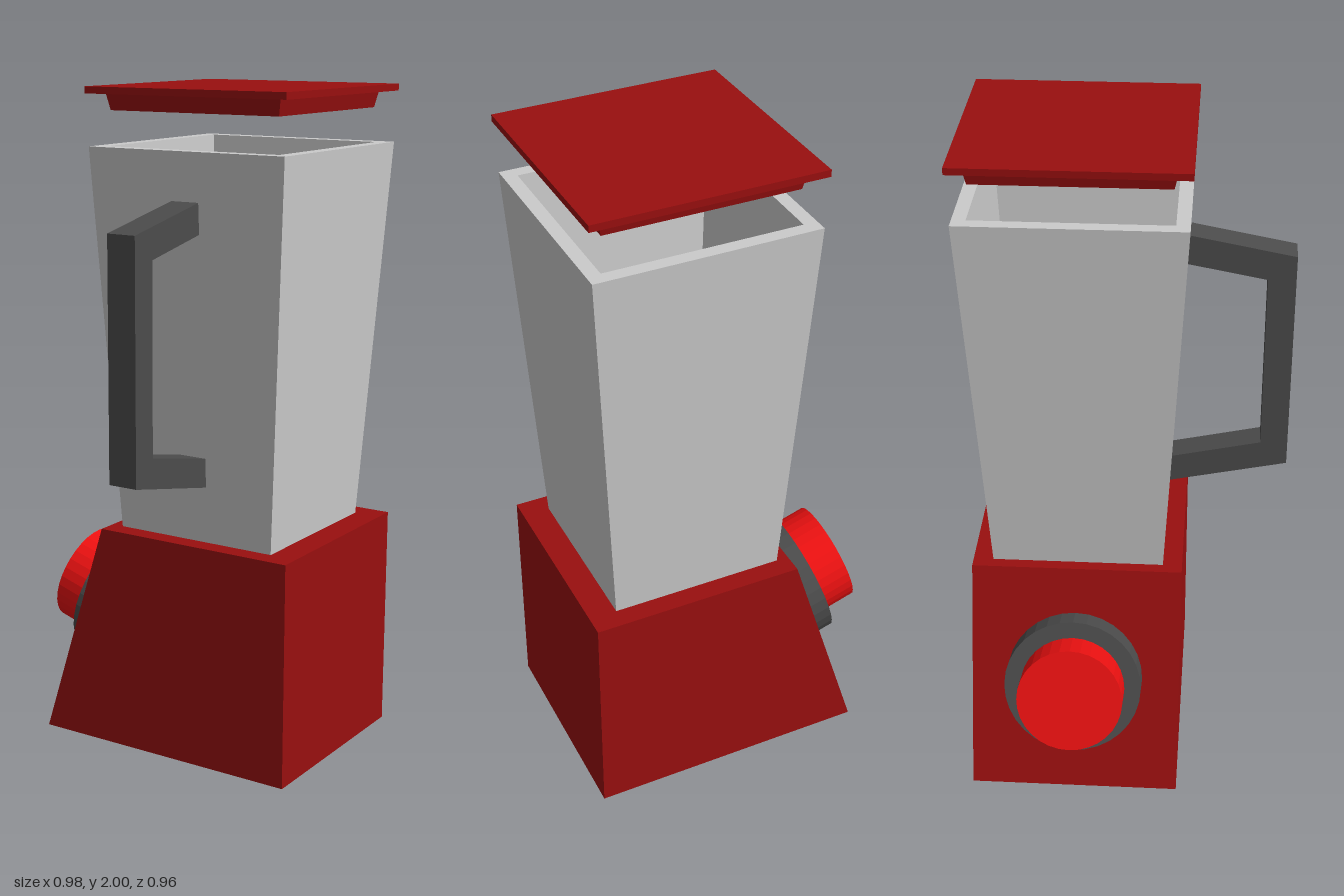
import * as THREE from 'three';

const CX = 0.147, CZ = -0.147; // shared axis of jug and lid

const mat = (color) => new THREE.MeshStandardMaterial({ color, flatShading: true });

// Square solid of revolution: profile of [half width, height]
function squareLathe(profile) {
  const pts = profile.map(([h, y]) => new THREE.Vector2(h * Math.SQRT2, y));
  return new THREE.LatheGeometry(pts, 4, Math.PI / 4);
}

// Flat outline extruded by depth
function slab(points, depth) {
  const shape = new THREE.Shape(points.map(([x, y]) => new THREE.Vector2(x, y)));
  return new THREE.ExtrudeGeometry(shape, { depth, bevelEnabled: false });
}

export function createModel() {
  const model = new THREE.Group();
  const red = mat(0x990f0f), brightRed = mat(0xee1111), dark = mat(0x4c4c4c), grey = mat(0xcccccc);

  const add = (name, geometry, material, x = 0, y = 0, z = 0, parent = model) => {
    const mesh = new THREE.Mesh(geometry, material);
    mesh.name = name;
    mesh.position.set(x, y, z);
    parent.add(mesh);
    return mesh;
  };

  // Motor base with a sloping control face
  add('base', slab([[-0.365, 0], [0.49, 0], [0.49, 0.685], [-0.15, 0.685]], 0.64), red, 0, 0, -0.468);

  // Open, tapered, hollow jug
  add('jug', squareLathe([
    [0, 0.68], [0.26, 0.68], [0.325, 1.83], [0.285, 1.83], [0.225, 0.73], [0, 0.73],
  ]), grey, CX, 0, CZ);

  // Lid raised above the jug: plate with a stepped plug
  add('lid', squareLathe([
    [0, 1.932], [0.279, 1.932], [0.289, 1.98], [0.332, 1.98], [0.332, 2], [0, 2],
  ]), red, CX, 0, CZ);

  // Bracket handle, drawn in the z-y plane
  const handle = add('handle', slab([
    [0.12, 0.855], [0.48, 0.932], [0.48, 1.63], [0.165, 1.69],
    [0.16, 1.6], [0.398, 1.555], [0.398, 1.003], [0.12, 0.942],
  ], 0.09), dark, 0.192, 0, 0);
  handle.rotation.y = -Math.PI / 2; // outline x becomes +z, depth becomes -x

  // Dial standing square to the sloping face
  const dial = new THREE.Group();
  dial.name = 'dial';
  dial.position.set(-0.255, 0.35, -0.15);
  dial.rotation.z = Math.atan2(0.685, 0.215); // local y points out of the slope
  model.add(dial);
  add('dialCollar', new THREE.CylinderGeometry(0.209, 0.209, 0.104, 32), dark, 0, 0.032, 0, dial);
  add('dialKnob', new THREE.CylinderGeometry(0.159, 0.159, 0.125, 32), brightRed, 0, 0.1325, 0, dial);

  return model;
}
